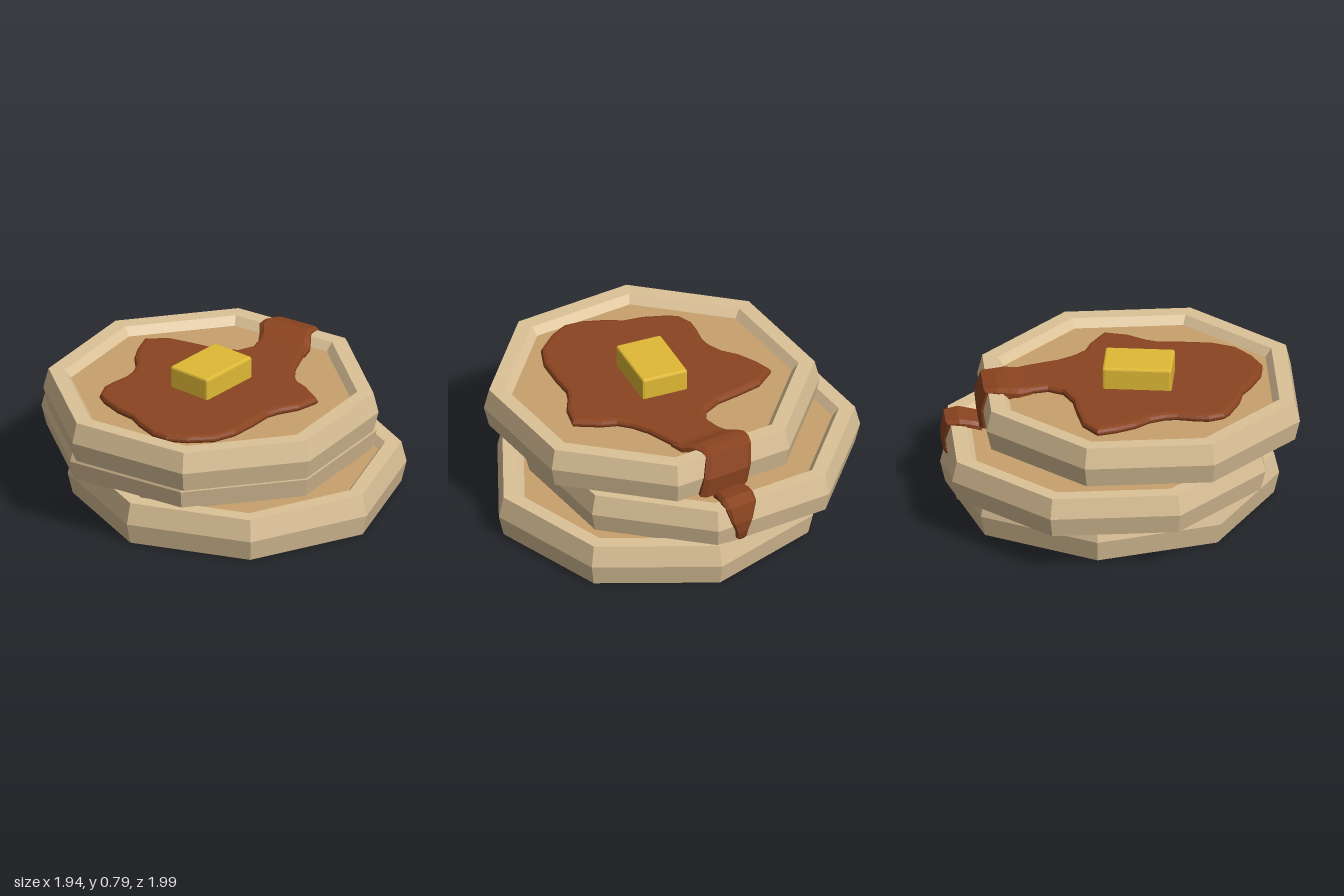
import * as THREE from 'three';
import { RoundedBoxGeometry } from 'three/addons/geometries/RoundedBoxGeometry.js';

const material = (color) => new THREE.MeshStandardMaterial({ color, flatShading: true });
const crustMat = material(0xdcc298);
const floorMat = material(0xc8a06c);
const syrupMat = material(0x8b4420);
const butterMat = material(0xe0b935);

function addMesh(parent, name, geometry, mat) {
  const mesh = new THREE.Mesh(geometry, mat);
  mesh.name = name;
  parent.add(mesh);
  return mesh;
}

const lathe = (points, phi) =>
  new THREE.LatheGeometry(points.map(([r, y]) => new THREE.Vector2(r, y)), 8, phi);

// Octagonal pancake: bevelled crust, raised rim and sunken floor
function pancake(name, x, y, z, height, degrees) {
  const group = new THREE.Group();
  group.name = name;
  const phi = THREE.MathUtils.degToRad(degrees);
  const floor = height - 0.045;
  addMesh(group, 'crust', lathe([
    [0, 0], [0.877, 0], [0.905, height / 2], [0.877, height], [0.79, height], [0.755, floor],
  ], phi), crustMat);
  addMesh(group, 'floor', lathe([[0.755, floor], [0, floor]], phi), floorMat);
  group.position.set(x, y, z);
  return group;
}

// Flat puddle with a bevelled edge, outlined as x, z pairs
function syrupPool() {
  const outline = [
    [-0.61, -0.27], [-0.58, -0.32], [-0.5, -0.36], [-0.43, -0.36], [-0.33, -0.35], [-0.27, -0.36],
    [-0.19, -0.4], [-0.12, -0.47], [-0.02, -0.53], [0.08, -0.57], [0.17, -0.47], [0.21, -0.33],
    [0.24, -0.2], [0.3, -0.1], [0.38, -0.07], [0.47, -0.1], [0.55, -0.15], [0.59, -0.18],
    [0.61, 0.13], [0.5, 0.19], [0.35, 0.26], [0.27, 0.32], [0.22, 0.38], [0.2, 0.46],
    [0.17, 0.52], [0.13, 0.6], [0, 0.58], [-0.1, 0.53], [-0.17, 0.51], [-0.3, 0.52],
    [-0.45, 0.52], [-0.58, 0.48], [-0.68, 0.38], [-0.74, 0.28], [-0.74, 0.18], [-0.7, 0.05],
    [-0.66, -0.03], [-0.65, -0.14],
  ];
  const shape = new THREE.Shape(outline.map(([x, z]) => new THREE.Vector2(x, -z)));
  const geometry = new THREE.ExtrudeGeometry(shape, {
    depth: 0.01, bevelThickness: 0.02, bevelSize: 0.025, bevelOffset: -0.025, bevelSegments: 2,
  });
  geometry.rotateX(-Math.PI / 2);
  geometry.translate(0, 0.64, 0);
  return geometry;
}

// Ribbon of syrup; each section is [x, y, zMin, zMax, thickness] along the surface it clings to
function syrupRibbon(sections, skewZ) {
  const positions = [];
  const index = [];
  sections.forEach(([x, y, z0, z1, t], i) => {
    const a = sections[Math.max(i - 1, 0)];
    const b = sections[Math.min(i + 1, sections.length - 1)];
    const length = Math.hypot(b[0] - a[0], b[1] - a[1]);
    const nx = -(b[1] - a[1]) / length;
    const ny = (b[0] - a[0]) / length;
    const inset = (z1 - z0) * 0.1;
    const ring = [[z0, -0.01], [z1, -0.01], [z1, t * 0.4], [z1 - inset, t], [z0 + inset, t], [z0, t * 0.4]];
    // Skew follows the slanted side of the pancake
    ring.forEach(([z, d]) => positions.push(x + nx * d + 0.147 * (z - skewZ), y + ny * d, z));
    for (let k = 0; k < 6 && i > 0; k++) {
      const p = (i - 1) * 6 + k, q = (i - 1) * 6 + (k + 1) % 6;
      index.push(p, p + 6, q, q, p + 6, q + 6);
    }
  });
  // End caps
  const last = (sections.length - 1) * 6;
  for (let k = 1; k < 5; k++) {
    index.push(0, k, k + 1, last, last + k + 1, last + k);
  }
  const geometry = new THREE.BufferGeometry();
  geometry.setAttribute('position', new THREE.Float32BufferAttribute(positions, 3));
  geometry.setIndex(index);
  geometry.computeVertexNormals();
  return geometry;
}

export function createModel() {
  const model = new THREE.Group();
  model.name = 'pancakeStack';

  model.add(
    pancake('bottomPancake', 0.063, 0, 0.093, 0.235, 0),
    pancake('middlePancake', 0.077, 0.227, -0.115, 0.22, 30.8),
    pancake('topPancake', -0.095, 0.45, 0.045, 0.225, 30.8),
  );

  const syrup = new THREE.Group();
  syrup.name = 'syrup';
  model.add(syrup);
  addMesh(syrup, 'pool', syrupPool(), syrupMat);

  // Over the top rim and down its side
  addMesh(syrup, 'upperDrip', syrupRibbon([
    [0.47, 0.635, -0.1, 0.19, 0.03],
    [0.55, 0.64, -0.15, 0.16, 0.035],
    [0.61, 0.67, -0.195, 0.12, 0.025],
    [0.66, 0.675, -0.2, 0.09, 0.022],
    [0.715, 0.67, -0.19, 0.085, 0.022],
    [0.737, 0.56, -0.175, 0.11, 0.03],
    [0.72, 0.45, -0.16, 0.13, 0.035],
  ], -0.05), syrupMat);

  // Over the middle rim, tapering to a drop
  addMesh(syrup, 'lowerDrip', syrupRibbon([
    [0.74, 0.43, -0.13, 0.05, 0.03],
    [0.8, 0.447, -0.14, 0.05, 0.025],
    [0.86, 0.45, -0.14, 0.055, 0.03],
    [0.915, 0.442, -0.13, 0.05, 0.025],
    [0.934, 0.36, -0.1, 0.025, 0.02],
    [0.93, 0.3, -0.075, 0.0, 0.02],
    [0.92, 0.26, -0.07, -0.005, 0.018],
    [0.915, 0.24, -0.055, -0.02, 0.01],
  ], -0.04), syrupMat);

  const butter = addMesh(model, 'butter', new RoundedBoxGeometry(0.37, 0.14, 0.26, 1, 0.012), butterMat);
  butter.position.set(-0.095, 0.72, 0.046);

  return model;
}
